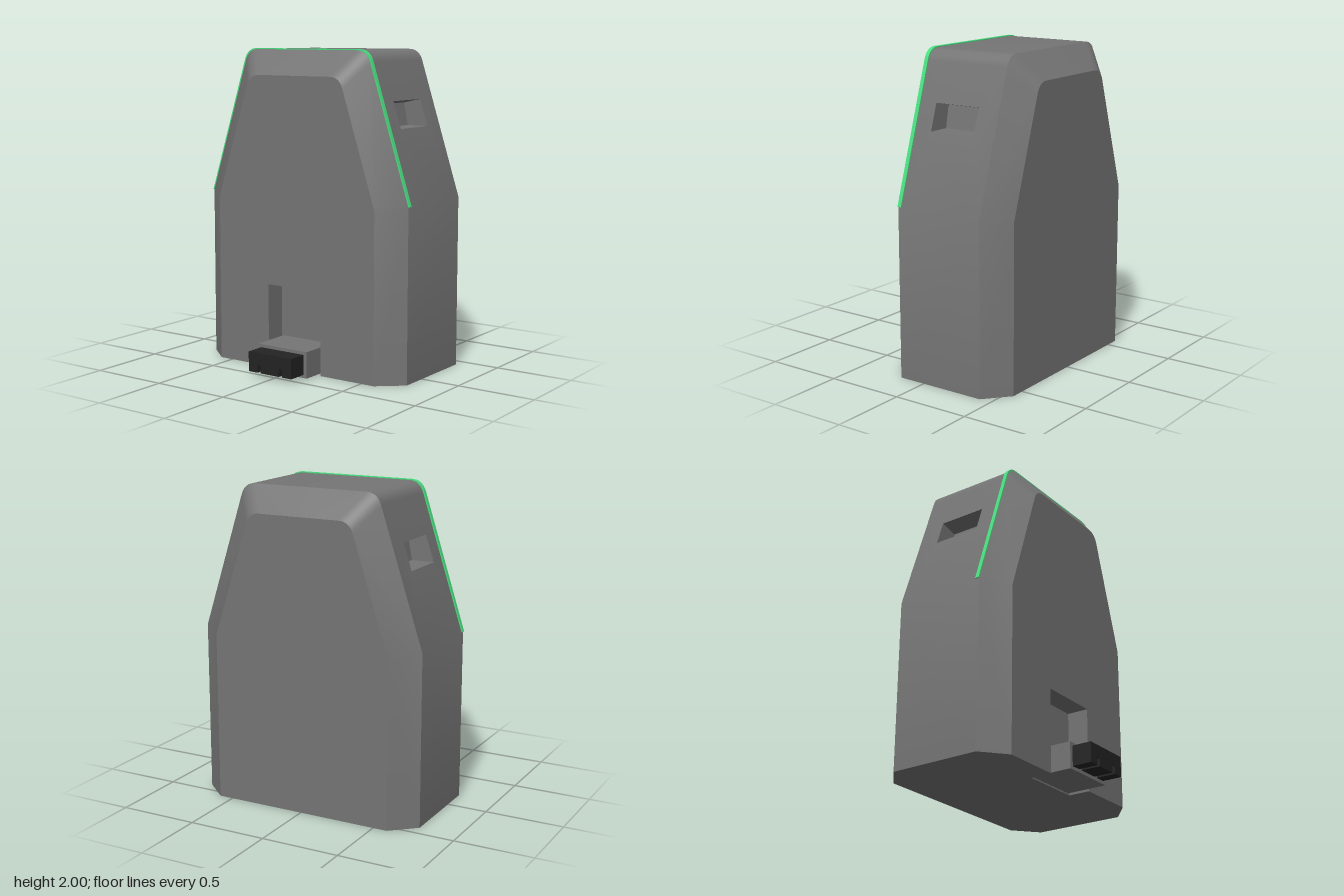
import * as THREE from 'three';
import { toCreasedNormals } from 'three/addons/utils/BufferGeometryUtils.js';

const V = (x, y, z) => new THREE.Vector3(x, y, z);

// Half outline (x >= 0): foot, shoulder, slope, rounded corner, top centre
function halfOutline(xBase, yShoulder, xTop, yTop, round, yFoot = 0) {
  const slope = new THREE.Vector2(xBase - xTop, yShoulder - yTop).normalize();
  const start = new THREE.Vector2(xTop, yTop).addScaledVector(slope, round);
  const corner = new THREE.QuadraticBezierCurve(
    start, new THREE.Vector2(xTop, yTop), new THREE.Vector2(xTop - round, yTop));
  const points = [new THREE.Vector2(xBase, yShoulder), ...corner.getPoints(8), new THREE.Vector2(0, yTop)];
  if (yFoot < yShoulder) points.unshift(new THREE.Vector2(xBase, yFoot));
  return points;
}

// Collects flat polygons, each turned to face along a hint, and mirrors them in x
class HalfShell {
  constructor() { this.positions = []; }
  triangle(a, b, c, hint) {
    const n = b.clone().sub(a).cross(c.clone().sub(a));
    if (n.lengthSq() < 1e-14) return;
    const t = n.dot(hint) < 0 ? [a, c, b] : [a, b, c];
    for (const p of t) this.positions.push(p.x, p.y, p.z);
    for (const p of [t[0], t[2], t[1]]) this.positions.push(-p.x, p.y, p.z);
  }
  quad(a, b, c, d, hint) {
    this.triangle(a, b, c, hint);
    this.triangle(a, c, d, hint);
  }
  polygon(flat, place, hint) {
    for (const [a, b, c] of THREE.ShapeUtils.triangulateShape(flat, []))
      this.triangle(place(flat[a]), place(flat[b]), place(flat[c]), hint);
  }
  geometry() {
    const g = new THREE.BufferGeometry();
    g.setAttribute('position', new THREE.Float32BufferAttribute(this.positions, 3));
    return toCreasedNormals(g, 0.5);
  }
}

function bodyGeometry() {
  const shell = new HalfShell();
  const zs = [0.305, 0.175, -0.42, -0.555];
  const outer = halfOutline(0.745, 1.08, 0.448, 1.995, 0.075);
  const inner = halfOutline(0.59, 1.06, 0.337, 1.838, 0.07);
  const rings = [inner, outer, outer, inner];
  const at = (r, i) => V(rings[r][i].x, rings[r][i].y, zs[r]);

  // Chamfers and side wall; the slope of the side wall carries a grip pocket
  for (let r = 0; r < 3; r++) {
    for (let i = 0; i < outer.length - 1; i++) {
      const a = at(r, i), b = at(r, i + 1), c = at(r + 1, i + 1), d = at(r + 1, i);
      const hint = a.clone().add(c).multiplyScalar(0.5).sub(V(0, 0.9, -0.12));
      if (r !== 1 || i !== 1) { shell.quad(a, b, c, d, hint); continue; }
      const onSlope = (y, z) => V(a.x + (b.x - a.x) * (y - a.y) / (b.y - a.y), y, z);
      const hole = [onSlope(1.525, 0.035), onSlope(1.69, 0.035), onSlope(1.69, -0.275), onSlope(1.525, -0.275)];
      const back = [V(0.456, 1.525, 0.035), V(0.43, 1.665, 0.035), V(0.43, 1.665, -0.275), V(0.456, 1.525, -0.275)];
      const rim = [a, b, c, d];
      const middle = V(0.51, 1.6, -0.12);
      for (let k = 0; k < 4; k++) {
        const n = (k + 1) % 4;
        shell.quad(rim[k], rim[n], hole[n], hole[k], V(1, 0.3, 0));
        const wallMid = hole[k].clone().add(back[n]).multiplyScalar(0.5);
        shell.quad(hole[k], hole[n], back[n], back[k], middle.clone().sub(wallMid));
      }
      shell.quad(...back, V(1, 0, 0));
    }
  }

  // Front face around the connector bay, back face, underside
  const P = (x, y) => new THREE.Vector2(x, y);
  shell.polygon([P(0, 0.53), P(0.2, 0.53), P(0.2, 0), ...inner], (p) => V(p.x, p.y, zs[0]), V(0, 0, 1));
  shell.polygon([P(0, 0), ...inner], (p) => V(p.x, p.y, zs[3]), V(0, 0, -1));
  const bay = 0.165;
  shell.polygon([P(0, bay), P(0.2, bay), P(0.2, zs[0]), P(0.59, zs[0]), P(0.745, zs[1]),
    P(0.745, zs[2]), P(0.59, zs[3]), P(0, zs[3])], (p) => V(p.x, 0, p.y), V(0, -1, 0));

  // Connector bay walls
  shell.quad(V(0, 0, bay), V(0.2, 0, bay), V(0.2, 0.53, bay), V(0, 0.53, bay), V(0, 0, 1));
  shell.quad(V(0.2, 0, bay), V(0.2, 0, zs[0]), V(0.2, 0.53, zs[0]), V(0.2, 0.53, bay), V(-1, 0, 0));
  shell.quad(V(0, 0.53, bay), V(0.2, 0.53, bay), V(0.2, 0.53, zs[0]), V(0, 0.53, zs[0]), V(0, -1, 0));
  return shell.geometry();
}

// Thin band following the shoulders and top
function stripeGeometry() {
  const mirror = (half) => [...half, ...half.slice(0, -1).reverse().map((p) => new THREE.Vector2(-p.x, p.y))];
  const over = mirror(halfOutline(0.752, 1.08, 0.455, 2.0, 0.075, 1.08));
  const under = mirror(halfOutline(0.738, 1.08, 0.441, 1.988, 0.075, 1.08));
  const g = new THREE.ExtrudeGeometry(new THREE.Shape([...over, ...under.reverse()]),
    { depth: 0.026, bevelEnabled: false });
  g.translate(0, 0, 0.15);
  return toCreasedNormals(g, 0.5);
}

// Plug tip with two slots along its underside
function plugGeometry() {
  const s = new THREE.Shape();
  s.moveTo(-0.163, 0.155);
  s.lineTo(-0.163, 0.03);
  for (const x of [-0.083, 0.081]) {
    s.lineTo(x - 0.013, 0.03);
    s.lineTo(x - 0.013, 0.08);
    s.lineTo(x + 0.013, 0.08);
    s.lineTo(x + 0.013, 0.03);
  }
  s.lineTo(0.163, 0.03);
  s.lineTo(0.163, 0.155);
  const g = new THREE.ExtrudeGeometry(s, { depth: 0.125, bevelEnabled: false });
  g.translate(0, 0, 0.43);
  return g;
}

export function createModel() {
  const material = (name, color) => {
    const m = new THREE.MeshStandardMaterial({ color });
    m.name = name;
    return m;
  };
  const grey = material('casing grey', 0x757575);
  const black = material('plug black', 0x232323);
  const green = material('stripe green', 0x4ade80);

  const group = new THREE.Group();
  group.name = 'plugInDevice';
  const add = (name, geometry, mat) => {
    const mesh = new THREE.Mesh(geometry, mat);
    mesh.name = name;
    group.add(mesh);
    return mesh;
  };

  add('body', bodyGeometry(), grey);
  add('shoulderStripe', stripeGeometry(), green);
  add('connectorBlock', new THREE.BoxGeometry(0.375, 0.165, 0.265), grey).position.set(0, 0.0925, 0.2975);
  add('plugTip', plugGeometry(), black);
  return group;
}
